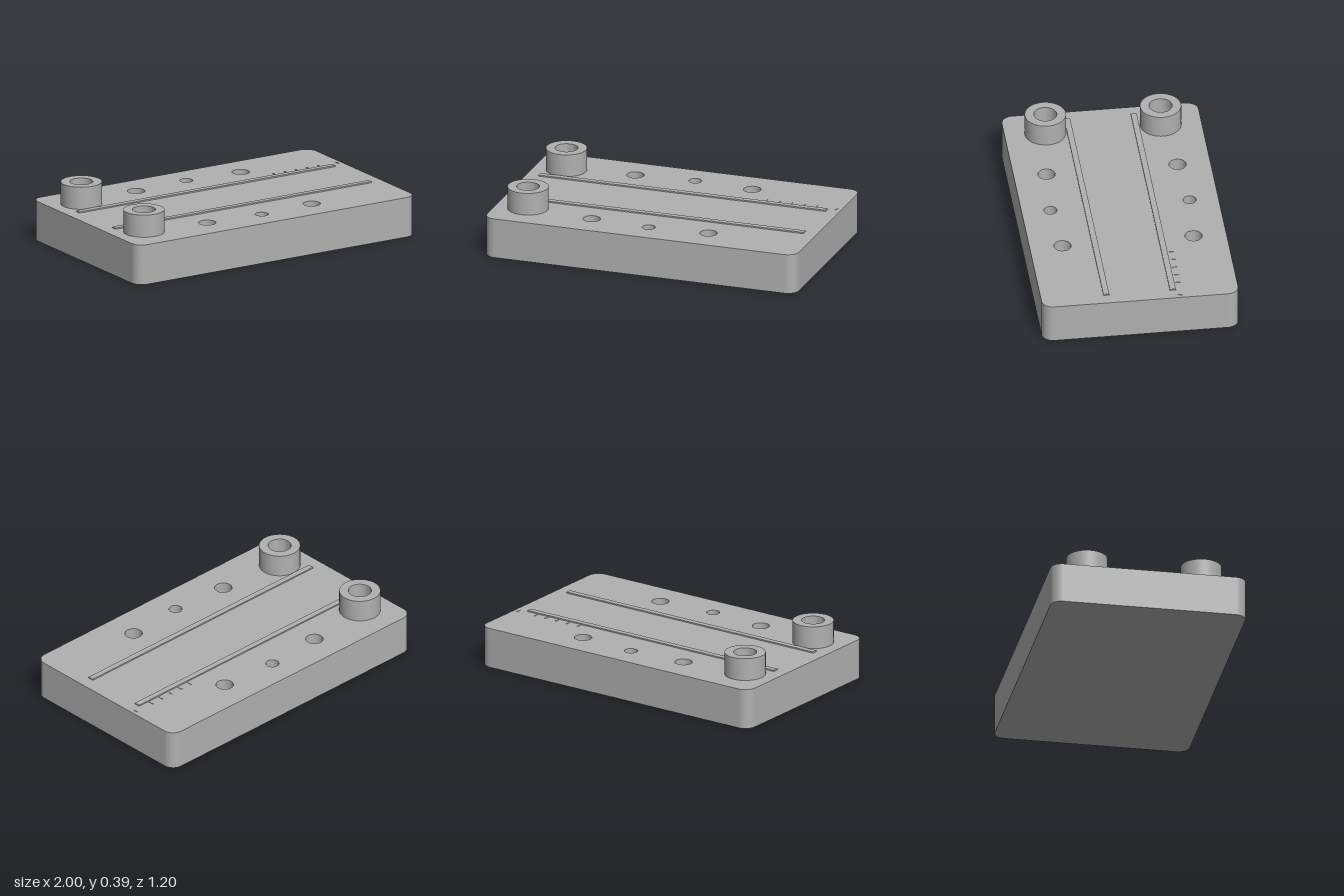
import * as THREE from 'three';
import { toCreasedNormals } from 'three/addons/utils/BufferGeometryUtils.js';

const TOP = 0.25;        // deck height
const HOLE_FLOOR = 0.08; // bottom of the blind holes

// Rounded rectangle in plan
function plateShape(w, d, r) {
  const x = w / 2, y = d / 2, s = new THREE.Shape();
  s.absarc(x - r, y - r, r, 0, Math.PI / 2);
  s.absarc(-x + r, y - r, r, Math.PI / 2, Math.PI);
  s.absarc(-x + r, -y + r, r, Math.PI, Math.PI * 1.5);
  s.absarc(x - r, -y + r, r, Math.PI * 1.5, Math.PI * 2);
  s.closePath();
  return s;
}

function addHole(shape, x, z, r) {
  shape.holes.push(new THREE.Path().absarc(x, -z, r, 0, Math.PI * 2, true));
}

// Extrude a plan shape upwards from y0 to y1
function extrudeUp(shape, y0, y1) {
  const g = new THREE.ExtrudeGeometry(shape, { depth: y1 - y0, bevelEnabled: false, curveSegments: 24 });
  g.rotateX(-Math.PI / 2).translate(0, y0, 0);
  return toCreasedNormals(g, 0.6);
}

export function createModel() {
  const model = new THREE.Group();
  model.name = 'mountingPlate';
  const grey = new THREE.MeshStandardMaterial({ color: 0xb0b0b0 });
  grey.name = 'grey';

  const add = (name, geometry) => {
    const mesh = new THREE.Mesh(geometry, grey);
    mesh.name = name;
    model.add(mesh);
    return mesh;
  };

  // Solid floor and the drilled deck above it
  add('plateFloor', extrudeUp(plateShape(2, 1.2, 0.07), 0, HOLE_FLOOR));
  const deck = plateShape(2, 1.2, 0.07);
  for (const side of [1, -1]) {
    addHole(deck, -0.375, side * 0.4, 0.053);
    addHole(deck, 0.375, side * 0.4, 0.053);
    addHole(deck, 0, side * 0.425, 0.04);
  }
  add('plateDeck', extrudeUp(deck, HOLE_FLOOR, TOP));

  for (const side of [1, -1]) {
    const name = side > 0 ? 'front' : 'back';

    // Hollow post
    const ring = new THREE.Shape().absarc(0, 0, 0.125, 0, Math.PI * 2);
    addHole(ring, 0, 0, 0.07);
    add(name + 'Post', extrudeUp(ring, TOP, 0.39)).position.set(-0.8, 0, side * 0.352);

    // Low guide rail
    add(name + 'Rail', new THREE.BoxGeometry(1.84, 0.008, 0.036))
      .position.set(0, TOP + 0.004, side * 0.203);
  }

  // Small scale marks beside the back rail
  [0.52, 0.6, 0.68, 0.76, 0.84, 0.97].forEach((x, i) => {
    add('scaleMark' + (i + 1), new THREE.BoxGeometry(0.008, 0.003, 0.03))
      .position.set(x, TOP + 0.0015, -0.245);
  });

  return model;
}
